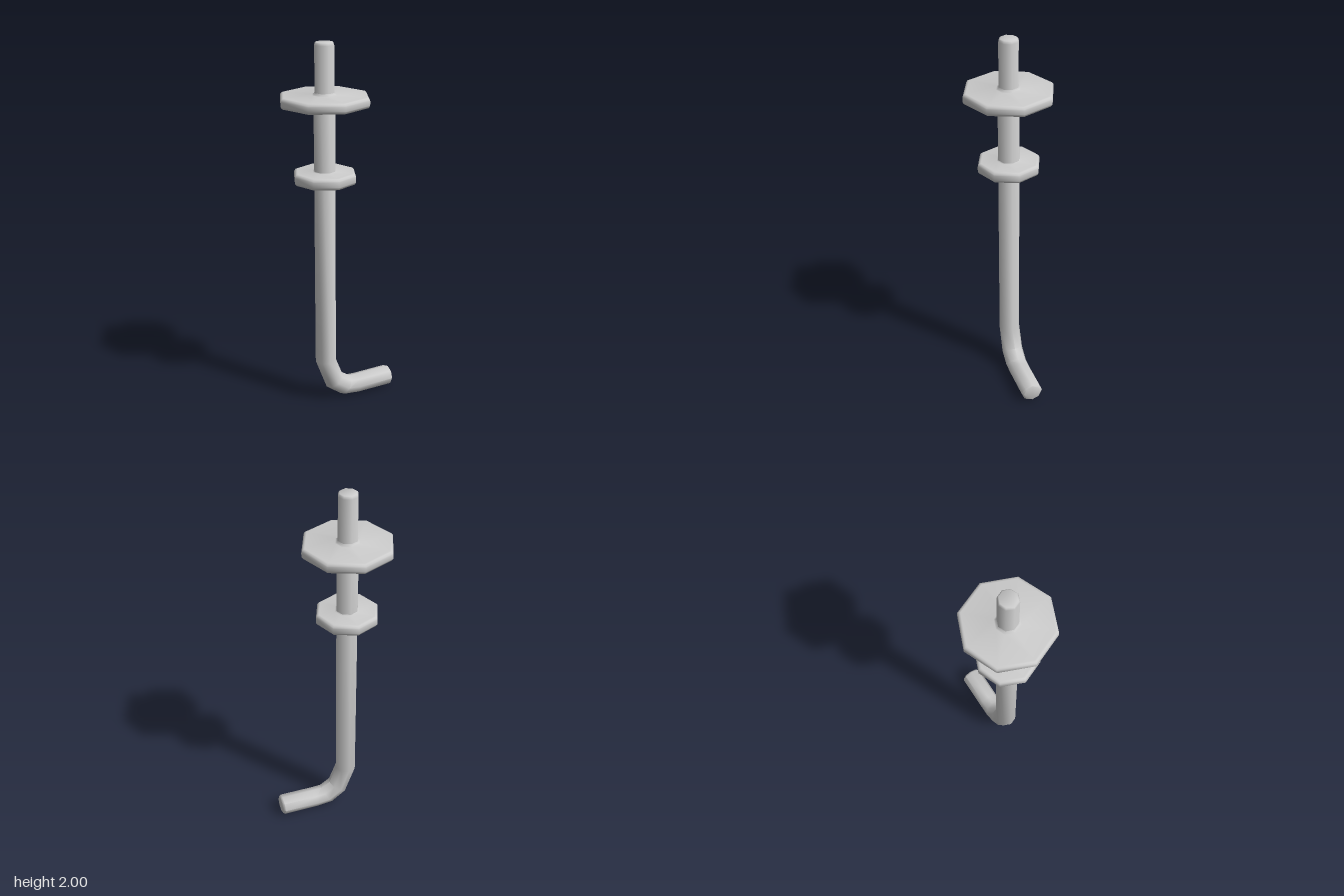
import * as THREE from 'three';
import { toCreasedNormals } from 'three/addons/utils/BufferGeometryUtils.js';

const SIDES = 8;
const AXIS_X = -0.08;

// Octagonal sweep; each ring is [outerX, outerY, innerX, innerY, depthRadius]
function sweepGeometry(rings) {
  const positions = [], indices = [];
  rings.forEach(([ox, oy, ix, iy, rz], r) => {
    for (let s = 0; s < SIDES; s++) {
      const a = (s / SIDES) * Math.PI * 2, c = Math.cos(a) / 2;
      positions.push((ox + ix) / 2 + (ox - ix) * c, (oy + iy) / 2 + (oy - iy) * c, rz * Math.sin(a));
      if (r === 0) continue;
      const next = (s + 1) % SIDES;
      const up = (r - 1) * SIDES, low = r * SIDES;
      indices.push(low + s, low + next, up + s, low + next, up + next, up + s);
    }
  });
  // End caps
  const last = (rings.length - 1) * SIDES;
  for (let s = 1; s < SIDES - 1; s++) {
    indices.push(0, s, s + 1, last, last + s + 1, last + s);
  }
  const geometry = new THREE.BufferGeometry();
  geometry.setAttribute('position', new THREE.Float32BufferAttribute(positions, 3));
  geometry.setIndex(indices);
  return toCreasedNormals(geometry, 0.9);
}

// Level ring of the upright shaft
const level = (y, r) => [AXIS_X - r, y, AXIS_X + r, y, r];

// Octagonal washer with softened rim and small fillets where it meets the shaft
function washerGeometry(radius, height) {
  const h = height / 2, b = 0.011;
  const half = [[0.052, h + 0.014], [0.057, h + 0.004], [0.066, h], [radius - 0.018, h],
    [radius - 0.009, h - 0.002], [radius - 0.002, h - b], [radius, h - b - 0.005]];
  const bottom = half.map(([r, y]) => new THREE.Vector2(r, -y));
  const top = half.map(([r, y]) => new THREE.Vector2(r, y)).reverse();
  return toCreasedNormals(new THREE.LatheGeometry([...bottom, ...top], SIDES), 0.9);
}

export function createModel() {
  const group = new THREE.Group();
  const material = new THREE.MeshStandardMaterial({ color: 0xcccccc });
  const add = (name, geometry, x = 0, y = 0) => {
    const mesh = new THREE.Mesh(geometry, material);
    mesh.name = name;
    mesh.position.set(x, y, 0);
    group.add(mesh);
  };

  // Bent rod: thinner tip, upright shaft, curved elbow and short foot
  add('bentRod', sweepGeometry([
    level(2, 0.044), level(1.996, 0.049), level(1.985, 0.053), level(1.715, 0.053),
    level(1.7, 0.059), level(0.247, 0.059),
    [-0.075, 0.077, 0.019, 0.145, 0.06],
    [0.01, 0.014, 0.07, 0.113, 0.06],
    [0.105, 0.005, 0.115, 0.112, 0.06],
    [0.308, 0.009, 0.308, 0.117, 0.06],
    [0.316, 0.013, 0.316, 0.113, 0.053],
    [0.319, 0.018, 0.319, 0.108, 0.048],
  ]));

  // Washers on the shaft
  add('upperWasher', washerGeometry(0.241, 0.055), AXIS_X, 1.708);
  add('lowerWasher', washerGeometry(0.17, 0.06), AXIS_X, 1.305);
  return group;
}
